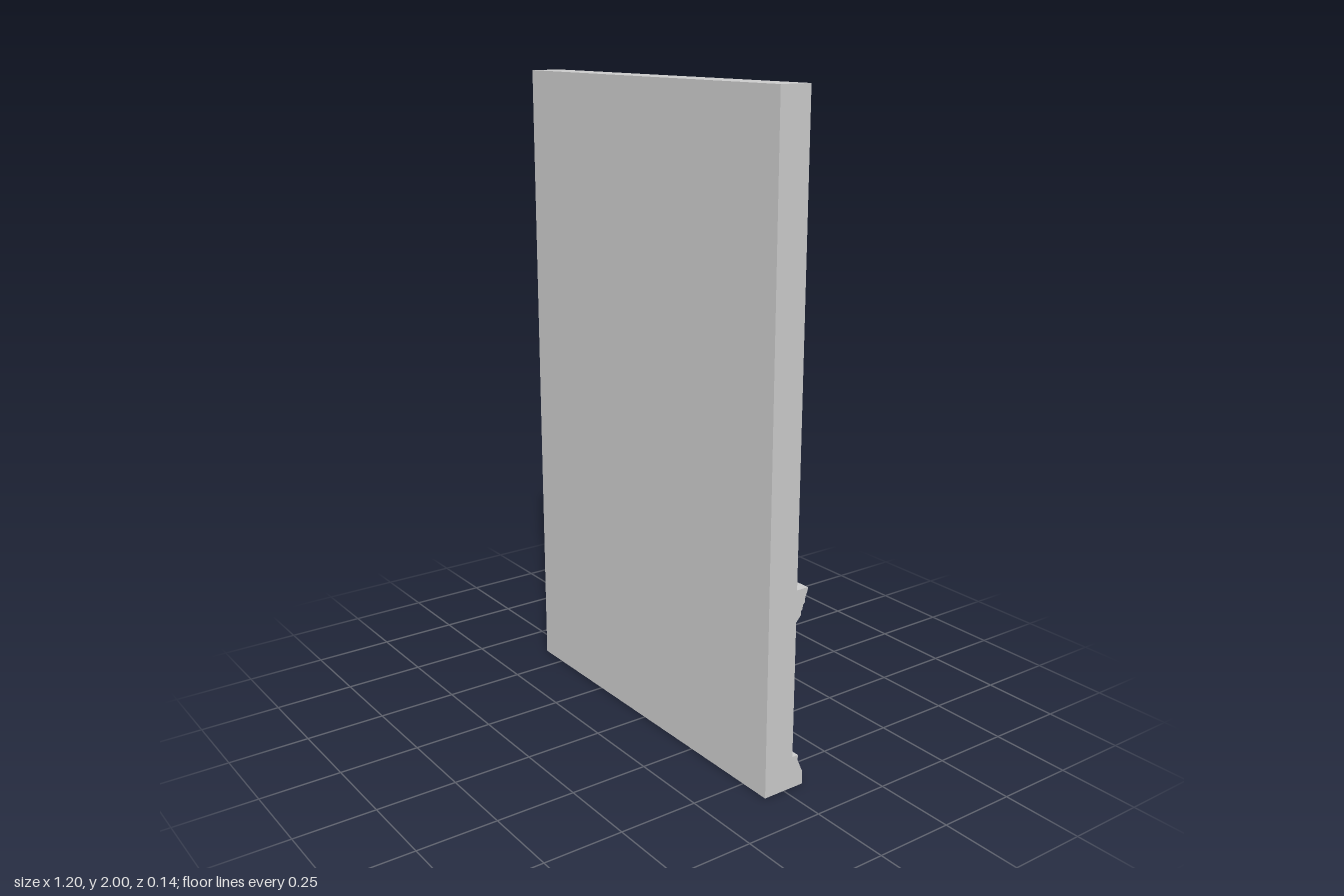
import * as THREE from 'three';

const WIDTH = 1.2;
const BACK = 0.03; // distance of the wall's moulded face behind centre

// Extrude a profile of [distance behind centre, height] points across the width
function strip(name, points, material) {
  const shape = new THREE.Shape(points.map(([d, y]) => new THREE.Vector2(d, y)));
  const geometry = new THREE.ExtrudeGeometry(shape, { depth: WIDTH, bevelEnabled: false });
  geometry.translate(0, 0, -WIDTH / 2).rotateY(Math.PI / 2);
  const mesh = new THREE.Mesh(geometry, material);
  mesh.name = name;
  return mesh;
}

export function createModel() {
  const group = new THREE.Group();
  group.name = 'wallSection';
  const material = new THREE.MeshStandardMaterial({ color: 0xcccccc, flatShading: true });

  // Plain wall slab
  group.add(strip('wall', [[-0.07, 0], [BACK, 0], [BACK, 2], [-0.072, 2]], material));

  // Stepped chair rail with a projecting top lip
  group.add(strip('chairRail', [
    [BACK, 0.522], [0.047, 0.541], [0.047, 0.553], [0.053, 0.559], [0.053, 0.57],
    [0.06, 0.576], [0.06, 0.586], [0.07, 0.613], [0.07, 0.62], [BACK, 0.62],
  ], material));

  // Skirting board with a sloped upper face
  group.add(strip('skirtingBoard', [
    [BACK, 0], [0.07, 0], [0.07, 0.04], [0.051, 0.082], [0.051, 0.1], [BACK, 0.1],
  ], material));

  return group;
}
